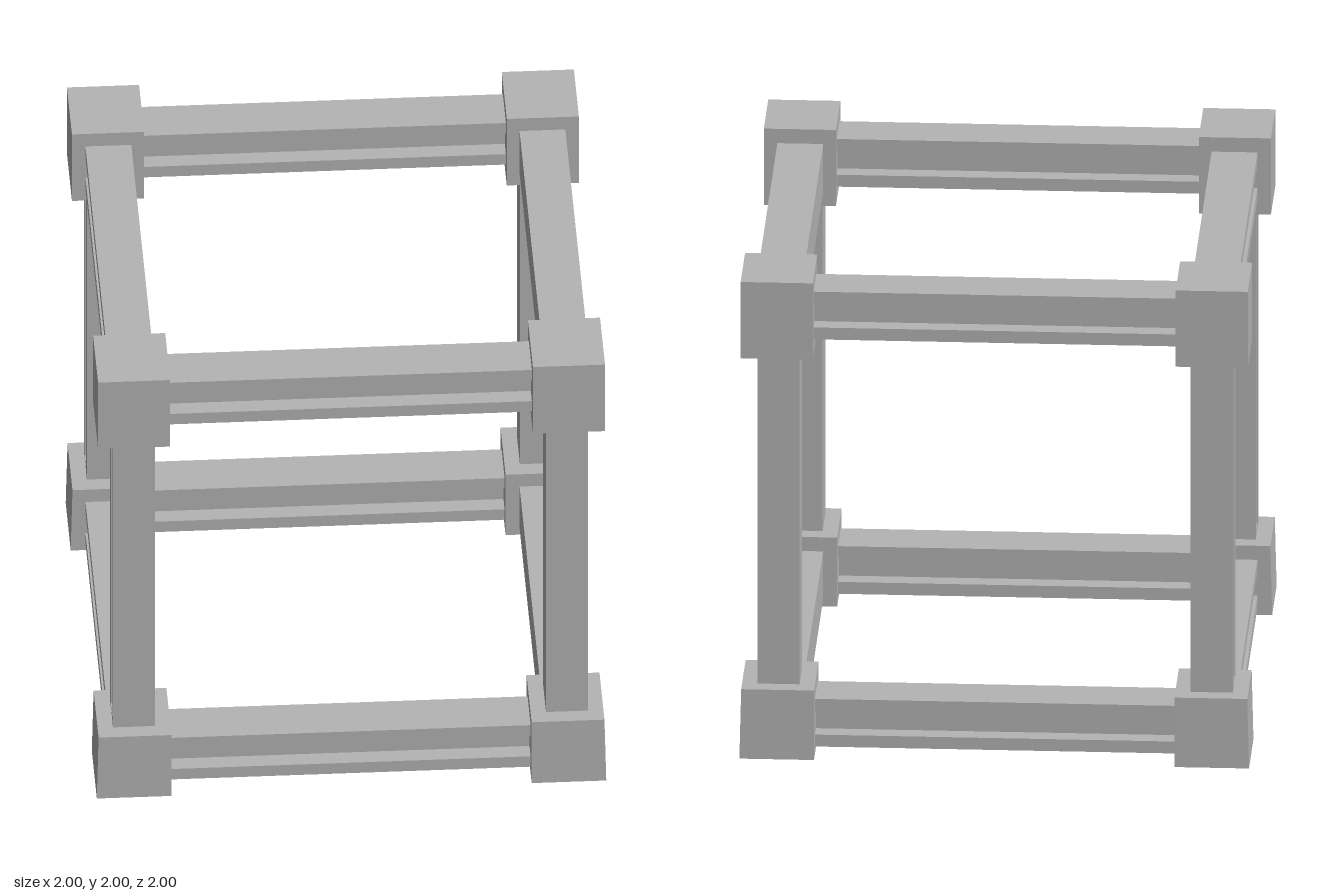
import * as THREE from 'three';

const DEPTH = 0.07; // depth of the grooves

// Box spanning given x, y and z ranges
function block(name, material, [x0, x1], [y0, y1], [z0, z1]) {
  const geometry = new THREE.BoxGeometry(x1 - x0, y1 - y0, z1 - z0);
  geometry.translate((x0 + x1) / 2, (y0 + y1) / 2, (z0 + z1) / 2);
  const mesh = new THREE.Mesh(geometry, material);
  mesh.name = name;
  return mesh;
}

// Bar of cross-section w x h along local z, grooved on +x and optionally on -x
function groovedBar(name, material, w, h, length, groove, bothSides) {
  const a = w / 2, b = h / 2, g = groove / 2;
  const points = [[-a, -b], [a, -b], [a, -g], [a - DEPTH, -g], [a - DEPTH, g], [a, g], [a, b], [-a, b]];
  if (bothSides) points.push([-a, g], [-a + DEPTH, g], [-a + DEPTH, -g], [-a, -g]);
  const shape = new THREE.Shape(points.map(([x, y]) => new THREE.Vector2(x, y)));
  const geometry = new THREE.ExtrudeGeometry(shape, { depth: length, bevelEnabled: false });
  geometry.translate(0, 0, -length / 2);
  const mesh = new THREE.Mesh(geometry, material);
  mesh.name = name;
  return mesh;
}

export function createModel() {
  const model = new THREE.Group();
  model.name = 'cubeFrame';
  const grey = new THREE.MeshStandardMaterial({ color: 0xb4b4b4 });
  grey.name = 'grey';

  const span = (s, lo, hi) => (s > 0 ? [lo, hi] : [-hi, -lo]);

  for (const sx of [-1, 1]) {
    for (const sz of [-1, 1]) {
      // Corner blocks; the lower ones narrow very slightly upwards
      model.add(block('topCorner', grey, span(sx, 0.712, 0.995), [1.68, 2], span(sz, 0.68, 0.998)));
      const foot = block('bottomCorner', grey, span(sx, 0.707, 1), [0, 0.29], span(sz, 0.677, 1));
      const p = foot.geometry.attributes.position;
      for (let i = 0; i < p.count; i++) {
        if (p.getY(i) > 0.1 && Math.abs(p.getX(i)) > 0.9) p.setX(i, sx * 0.993);
        if (p.getY(i) > 0.1 && Math.abs(p.getZ(i)) > 0.9) p.setZ(i, sz * 0.996);
      }
      foot.geometry.computeVertexNormals();
      model.add(foot);

      // Posts, grooved on the outer side face, with the groove closed at each end
      const post = groovedBar('post', grey, 0.165, 0.185, 1.42, 0.095, false);
      post.rotation.set(-Math.PI / 2, 0, sx > 0 ? 0 : Math.PI);
      post.rotation.order = 'XYZ';
      post.position.set(sx * 0.85, 0.985, sz * 0.838);
      model.add(post);
      for (const y of [0.28, 1.67]) {
        model.add(block('postGrooveEnd', grey, span(sx, 0.85, 0.932), [y, y + 0.025], span(sz, 0.78, 0.895)));
      }
    }

    // Side rails, grooved on the outer face only
    for (const y of [0.131, 1.84]) {
      const rail = groovedBar('sideRail', grey, 0.18, 0.2, 1.4, 0.1, false);
      rail.rotation.y = sx > 0 ? 0 : Math.PI;
      rail.position.set(sx * 0.852, y, 0);
      model.add(rail);
    }
  }

  // Front and back rails, grooved on both faces
  for (const sz of [-1, 1]) {
    for (const y of [0.131, 1.84]) {
      const rail = groovedBar('crossRail', grey, 0.195, 0.2, 1.46, 0.1, true);
      rail.rotation.y = Math.PI / 2;
      rail.position.set(0, y, sz * 0.835);
      model.add(rail);
    }
  }
  return model;
}
